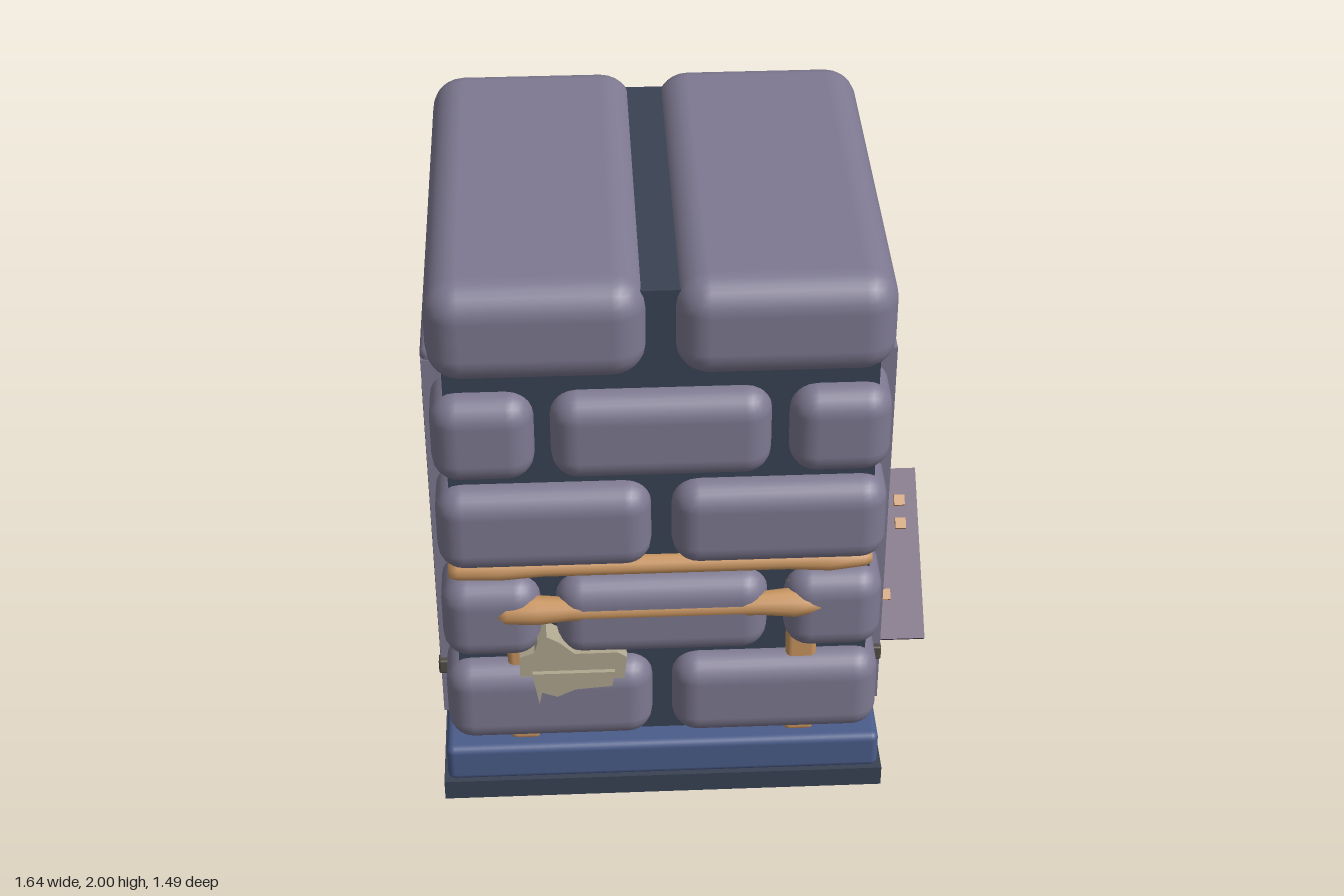
import * as THREE from 'three';
import { RoundedBoxGeometry } from 'three/addons/geometries/RoundedBoxGeometry.js';

const mat = (name, color) => {
  const m = new THREE.MeshStandardMaterial({ color });
  m.name = name;
  return m;
};

export function createModel() {
  const stone = mat('stone', 0x7e7991);
  const mortar = mat('mortar', 0x3a4354);
  const plinthBlue = mat('plinthBlue', 0x4a5c8a);
  const wood = mat('wood', 0xc99560);
  const glowBlue = mat('brightBlue', 0x4468b8);
  const olive = mat('olive', 0x504c43);
  const plum = mat('plum', 0x604c68);
  const cloth = mat('cloth', 0xb0a78f);

  const model = new THREE.Group();
  const add = (name, geo, material, parent = model) => {
    const m = new THREE.Mesh(geo, material);
    m.name = name;
    parent.add(m);
    return m;
  };
  // Box between two extents on each axis; r > 0 rounds its edges
  const block = (name, material, [x0, x1], [y0, y1], [z0, z1], r = 0) => {
    const s = [x1 - x0, y1 - y0, z1 - z0];
    const geo = r ? new RoundedBoxGeometry(...s, 3, r) : new THREE.BoxGeometry(...s);
    geo.translate((x0 + x1) / 2, (y0 + y1) / 2, (z0 + z1) / 2);
    return add(name, geo, material);
  };

  // Foundation and core
  block('baseSlab', mortar, [-0.81, 0.665], [0, 0.075], [-0.735, 0.735]);
  block('plinth', plinthBlue, [-0.797, 0.652], [0.07, 0.21], [-0.72, 0.725], 0.025);
  block('mortarCore', mortar, [-0.74, 0.6], [0.2, 1.95], [-0.64, 0.64]);

  // Front courses of stones
  const pair = [[-0.785, -0.105], [-0.04, 0.642]];
  const triple = [[-0.785, -0.465], [-0.415, 0.27], [0.325, 0.642]];
  [[0.225, 0.54, pair], [0.58, 0.885, triple], [0.94, 1.25, pair], [1.29, 1.6, triple]]
    .forEach(([y0, y1, row]) => row.forEach(x =>
      block('frontStone', stone, x, [y0, y1], [0.4, 0.725], 0.085)));

  // Two long cap stones
  for (const x of [[-0.785, -0.115], [-0.03, 0.645]])
    block('capStone', stone, x, [1.66, 2], [-0.72, 0.725], 0.105);

  // Side walls, back wall and upper lip
  block('wallBody', stone, [-0.795, 0.65], [0.25, 1.66], [-0.722, 0.515]);
  block('rightWall', stone, [0.6, 0.667], [0.21, 1.645], [-0.74, 0.525]);
  block('leftWall', stone, [-0.808, -0.74], [0.21, 1.645], [-0.74, 0.525]);
  block('upperLip', stone, [-0.81, 0.66], [1.61, 1.688], [-0.742, 0.525], 0.03);
  block('backPanel', stone, [-0.72, 0.58], [0.33, 1.52], [-0.735, -0.7], 0.012);
  block('backLowerLip', stone, [-0.8, 0.655], [0.245, 0.295], [-0.742, -0.69], 0.02);
  block('backBatten', wood, [-0.8, 0.655], [0.208, 0.25], [-0.742, -0.68], 0.015);
  for (const x of [-0.72, 0.58]) for (const y of [0.3, 1.57])
    block('backCorner', stone, [x - 0.055, x + 0.055], [y - 0.045, y + 0.045], [-0.745, -0.69], 0.02);
  for (const x of [-0.5, 0.28])
    block('backSliver', plum, [x - 0.08, x + 0.08], [1.575, 1.6], [-0.728, -0.72]);

  // Blue inlay and dark strip on both sides
  const inlay = new THREE.Shape([[-0.08, 0.48], [-0.04, 0.425], [0.04, 0.425], [0.08, 0.48],
    [0.08, 1.34], [0.04, 1.4], [-0.04, 1.4], [-0.08, 1.34]].map(p => new THREE.Vector2(...p)));
  for (const side of [-1, 1]) {
    const face = side > 0 ? 0.667 : -0.808;
    const m = add('sideInlay', new THREE.ExtrudeGeometry(inlay, { depth: 0.009, bevelEnabled: false }), glowBlue);
    m.rotation.y = side * Math.PI / 2;
    m.position.x = face;
    block('sideStrip', olive, [face - 0.004, face + 0.004], [0.425, 1.53], [0.31, 0.48]);
    const cx = side > 0 ? 0.65 : -0.795;
    block('sideClip', olive, [cx - 0.02, cx + 0.02], [0.39, 0.445], [0.5, 0.545], 0.008);
  }

  // Timber rails, tapered toward their ends
  const rail = (name, x0, x1, y, z, r) => {
    const L = x1 - x0;
    const pts = [[0, 0], [r * 0.7, 0], [r * 0.9, 0.03], [r, L * 0.12], [r * 0.8, L * 0.22],
      [r * 0.8, L * 0.8], [r, L * 0.9], [r * 0.7, L - 0.02], [r * 0.4, L], [0, L]];
    const m = add(name, new THREE.LatheGeometry(pts.map(p => new THREE.Vector2(...p)), 10), wood);
    m.rotation.z = -Math.PI / 2;
    m.position.set(x0, y, z);
  };
  rail('upperRail', -0.755, 0.605, 0.918, 0.645, 0.043);
  rail('lowerRail', -0.605, 0.46, 0.775, 0.69, 0.05);
  for (const x of [-0.53, 0.385])
    block('railPost', wood, [x - 0.05, x + 0.05], [0.2, 0.85], [0.6, 0.675], 0.02);

  // Torn cloth lying over a stone
  const outline = pts => new THREE.Shape(pts.map(p => new THREE.Vector2(...p)));
  const drape = add('clothTop', new THREE.ExtrudeGeometry(outline([[-0.54, 0.52], [-0.2, 0.5],
    [-0.19, 0.59], [-0.22, 0.61], [-0.36, 0.61], [-0.41, 0.66], [-0.45, 0.685], [-0.48, 0.66],
    [-0.49, 0.62], [-0.54, 0.6]]), { depth: 0.08, bevelEnabled: false }), cloth);
  drape.position.z = 0.64;
  const flap = add('clothFlap', new THREE.ExtrudeGeometry(outline([[-0.5, 0.54], [-0.48, 0.41],
    [-0.47, 0.46], [-0.42, 0.44], [-0.36, 0.47], [-0.24, 0.48], [-0.23, 0.54]]),
  { depth: 0.04, bevelEnabled: false }), cloth);
  flap.position.z = 0.695;

  // Leaning nailed plank on the right wall
  const plank = new THREE.Group();
  plank.name = 'leaningPlank';
  plank.position.set(0.742, 0.637, 0.283);
  plank.rotation.x = Math.atan2(0.4, 0.435);
  model.add(plank);
  add('plankBoard', new THREE.BoxGeometry(0.156, 0.025, 0.585), plum, plank);
  for (const [x, z] of [[0.016, -0.18], [0.016, -0.1], [-0.05, 0.142]])
    add('plankNail', new THREE.BoxGeometry(0.036, 0.022, 0.036), wood, plank).position.set(x, 0.02, z);

  return model;
}
